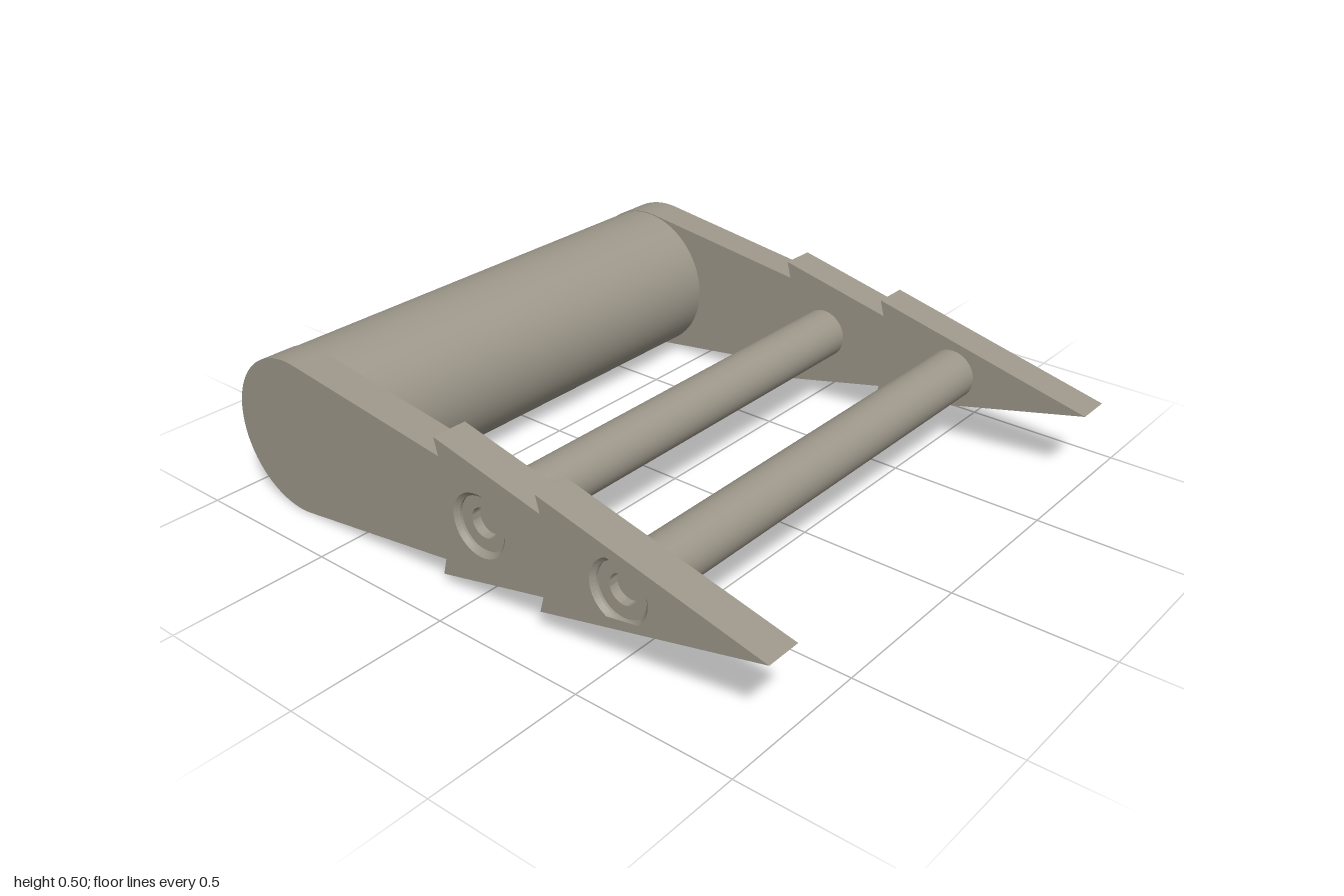
import * as THREE from 'three';
import { toCreasedNormals } from 'three/addons/utils/BufferGeometryUtils.js';

const MID = 0.25;                  // height of the centre line
const INNER = 0.75, OUTER = 0.866; // inner and outer faces of the side plates
const RODS = [0.53, 0.033];        // z of the cross rods
const BORE = 0.08, RIM = 0.098;    // fastener hole radius at the inner and outer face

// Barbed plate, symmetric about y = 0: shape x is the model's z, extrusion z = 0 is the outer face
function plateGeometry() {
  const barbs = [[0.252, 0.18], [0.266, 0.128], [-0.124, 0.218], [-0.11, 0.164]];
  const outline = new THREE.Shape();
  outline.moveTo(1, 0);
  barbs.forEach(([z, h]) => outline.lineTo(z, h));
  outline.absarc(-0.75, 0, 0.25, 1.44, 2 * Math.PI - 1.44, false);
  [...barbs].reverse().forEach(([z, h]) => outline.lineTo(z, -h));
  outline.closePath();
  for (const z of RODS) {
    outline.holes.push(new THREE.Path().absarc(z, 0, BORE, 0, Math.PI * 2, true));
  }
  const geometry = new THREE.ExtrudeGeometry(outline, {
    depth: OUTER - INNER, bevelEnabled: false, curveSegments: 48,
  });
  // Flare the holes towards the outer face
  const pos = geometry.attributes.position;
  for (let i = 0; i < pos.count; i++) {
    if (pos.getZ(i) > 0.001) continue;
    for (const z of RODS) {
      const dx = pos.getX(i) - z, y = pos.getY(i);
      if (Math.hypot(dx, y) < BORE + 0.005) {
        pos.setXY(i, z + dx * RIM / BORE, y * RIM / BORE);
      }
    }
  }
  return toCreasedNormals(geometry, 0.5);
}

export function createModel() {
  const model = new THREE.Group();
  const material = new THREE.MeshStandardMaterial({ color: 0x9d978a });
  const add = (parent, name, geometry) => {
    const mesh = new THREE.Mesh(geometry, material);
    mesh.name = name;
    parent.add(mesh);
    return mesh;
  };

  // Recessed fastener with a chamfered rim and a round socket, outer face at y = 0
  const profile = [[RIM, 0], [0.085, -0.012], [0.085, -0.02], [0.046, -0.02], [0.046, -0.05], [0, -0.05]];
  const fastener = toCreasedNormals(new THREE.LatheGeometry(
    profile.map(([r, y]) => new THREE.Vector2(r, y)), 96), 0.5);

  // One side, then the same turned half round for the other
  const left = new THREE.Group();
  left.name = 'leftSide';
  left.position.set(OUTER, MID, 0);
  add(left, 'sidePlate', plateGeometry()).rotation.y = -Math.PI / 2;
  RODS.forEach((z, i) => {
    const bolt = add(left, 'fastener' + (i + 1), fastener);
    bolt.rotation.z = -Math.PI / 2;
    bolt.position.z = z;
  });
  const right = left.clone();
  right.name = 'rightSide';
  right.position.x = -OUTER;
  right.rotation.z = Math.PI;
  model.add(left, right);

  // Cylinders spanning between the plates
  const crossBar = (name, r, z) => {
    const bar = add(model, name, new THREE.CylinderGeometry(r, r, 2 * INNER, 96));
    bar.rotation.z = Math.PI / 2;
    bar.position.set(0, MID, z);
  };
  RODS.forEach((z, i) => crossBar('crossRod' + (i + 1), 0.082, z));
  crossBar('rearRoller', 0.247, -0.752);

  return model;
}
